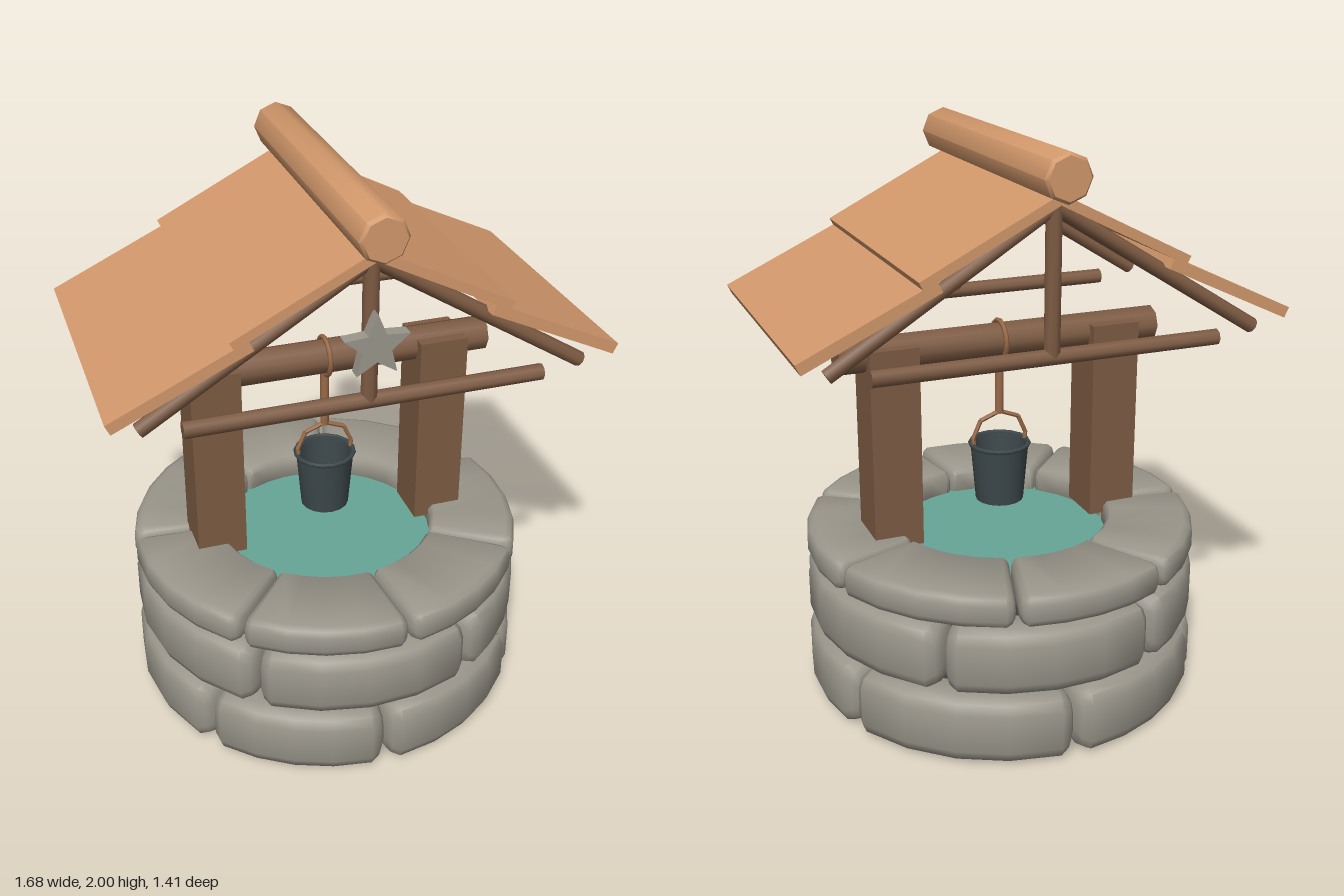
import * as THREE from 'three';
import { toCreasedNormals } from 'three/addons/utils/BufferGeometryUtils.js';

const mat = (name, color, side = THREE.FrontSide) => {
  const m = new THREE.MeshStandardMaterial({ color, side });
  m.name = name;
  return m;
};

// One curved block: a chamfered section swept from angle a0 to a1, shrunk at both ends
function stoneGeometry(a0, a1, ri, ro, y0, y1, b) {
  const section = (s) => {
    const R = ro - s, I = ri + s * 0.4, lo = y0 + s, hi = y1 - s, c = b * 0.5;
    return [[I, lo + c], [I + c, lo], [R - b, lo], [R - b * 0.3, lo + b * 0.3], [R, lo + b],
      [R, hi - b], [R - b * 0.3, hi - b * 0.3], [R - b, hi], [I + c, hi], [I, hi - c]];
  };
  const d = b / ro, steps = 4;
  const stations = [[a0, b * 0.75], [a0 + d * 0.35, b * 0.3]];
  for (let i = 0; i <= steps; i++) stations.push([a0 + d + (a1 - a0 - 2 * d) * i / steps, 0]);
  stations.push([a1 - d * 0.35, b * 0.3], [a1, b * 0.75]);
  const pos = [], idx = [], n = 10;
  stations.forEach(([a, s]) => section(s).forEach(([r, y]) => pos.push(r * Math.sin(a), y, r * Math.cos(a))));
  for (let i = 0; i < stations.length - 1; i++) {
    for (let j = 0; j < n; j++) {
      const p = i * n + j, q = i * n + (j + 1) % n;
      idx.push(p, p + n, q, q, p + n, q + n);
    }
  }
  const e = (stations.length - 1) * n;
  for (let j = 1; j < n - 1; j++) idx.push(0, j, j + 1, e, e + j + 1, e + j);
  const g = new THREE.BufferGeometry();
  g.setAttribute('position', new THREE.Float32BufferAttribute(pos, 3));
  g.setIndex(idx);
  return toCreasedNormals(g, 0.9);
}

export function createModel() {
  const lightWood = mat('light wood', 0xd2986b);
  const darkWood = mat('dark wood', 0x7d5b43);
  const ropeBrown = mat('rope brown', 0x9a6a48);
  const stone = mat('stone', 0x9a968b);
  const slate = mat('dark slate', 0x3d484b, THREE.DoubleSide);
  const water = mat('water', 0x66a596);
  const root = new THREE.Group();
  root.name = 'well';

  const add = (name, geo, material, x = 0, y = 0, z = 0) => {
    const m = new THREE.Mesh(geo, material);
    m.name = name;
    m.position.set(x, y, z);
    root.add(m);
    return m;
  };
  // Round pole between two points
  const pole = (name, from, to, r, material, sides = 8) => {
    const a = new THREE.Vector3(...from), b = new THREE.Vector3(...to);
    const dir = b.clone().sub(a);
    const g = toCreasedNormals(new THREE.CylinderGeometry(r, r, dir.length(), sides), 0.9);
    const m = add(name, g, material);
    m.position.copy(a).add(b).multiplyScalar(0.5);
    m.quaternion.setFromUnitVectors(new THREE.Vector3(0, 1, 0), dir.normalize());
    return m;
  };

  // Stone rings: joint angles in degrees, measured from the front towards +x
  const rings = [
    { name: 'lowerStone', joints: [0, 56, 112, 180, 236, 306], ri: 0.5, ro: 0.705, y0: 0.004, y1: 0.242, b: 0.05, gap: 0.4 },
    { name: 'middleStone', joints: [28, 75, 142, 206, 254, 322], ri: 0.5, ro: 0.7, y0: 0.258, y1: 0.496, b: 0.05, gap: 0.4 },
    { name: 'rimStone', joints: [6.5, 55, 108, 163, 210, 264, 318], ri: 0.39, ro: 0.7, y0: 0.512, y1: 0.626, b: 0.03, gap: 0.6 },
  ];
  const rad = THREE.MathUtils.degToRad;
  for (const { name, joints, ri, ro, y0, y1, b, gap } of rings) {
    joints.forEach((a, i) => {
      const next = i + 1 < joints.length ? joints[i + 1] : joints[0] + 360;
      add(name, stoneGeometry(rad(a + gap), rad(next - gap), ri, ro, y0, y1, b), stone);
    });
  }

  // Dark core behind the stones, with the water on top
  add('core', new THREE.CylinderGeometry(0.57, 0.57, 0.53, 32), slate, 0, 0.265, 0);
  add('water', new THREE.CylinderGeometry(0.5, 0.5, 0.008, 32), water, 0, 0.538, 0);

  // Posts and crossbar
  for (const s of [-1, 1]) add('post', new THREE.BoxGeometry(0.175, 0.72, 0.18), darkWood, s * 0.41, 0.945, 0);
  pole('crossbar', [-0.59, 1.272, 0], [0.59, 1.272, 0], 0.062, darkWood);

  // A truss under each end of the roof
  for (const z of [-0.445, 0.445]) {
    pole('tieBeam', [-0.6, 1.338, z], [0.6, 1.338, z], 0.028, darkWood);
    pole('kingPost', [0, 1.34, z], [0, 1.86, z], 0.028, darkWood);
    for (const s of [-1, 1]) pole('rafter', [0, 1.82, z], [s * 0.735, 1.362, z], 0.026, darkWood);
  }

  // Roof boards, two overlapping rows per side
  const board = (name, s, x0, y0, x1, y1, t) => {
    const m = add(name, new THREE.BoxGeometry(Math.hypot(x1 - x0, y1 - y0), t, 1), lightWood,
      s * (x0 + x1) / 2, (y0 + y1) / 2, 0);
    m.rotation.z = s * Math.atan2(y1 - y0, x1 - x0);
  };
  for (const s of [-1, 1]) {
    board('upperRoofBoard', s, 0, 1.85, 0.45, 1.623, 0.032);
    board('lowerRoofBoard', s, 0.39, 1.618, 0.833, 1.411, 0.038);
  }

  // Ridge log with slightly bevelled ends
  const ridge = [[0, -0.562], [0.07, -0.562], [0.08, -0.55], [0.08, 0.55], [0.07, 0.562], [0, 0.562]]
    .map(([x, y]) => new THREE.Vector2(x, y));
  add('ridgeLog', toCreasedNormals(new THREE.LatheGeometry(ridge, 8), 0.85), lightWood, 0, 1.923, 0).rotation.x = Math.PI / 2;

  // Star on the front king post
  const star = new THREE.Shape();
  for (let i = 0; i < 10; i++) {
    const a = Math.PI / 2 + i * Math.PI / 5, r = i % 2 ? 0.05 : 0.112;
    star[i ? 'lineTo' : 'moveTo'](r * Math.cos(a), r * Math.sin(a));
  }
  add('star', new THREE.ExtrudeGeometry(star, { depth: 0.045, bevelEnabled: false }), stone, 0, 1.555, 0.468);

  // Rope looped round the crossbar
  add('ropeLoop', new THREE.TorusGeometry(0.068, 0.009, 6, 16), ropeBrown, 0, 1.272, 0).rotation.y = Math.PI / 2;
  pole('rope', [0, 1.0, 0], [0, 1.22, 0], 0.016, ropeBrown);

  // Bucket: open shell with a rim and a bent handle
  const bucket = [[0, 0.675], [0.086, 0.675], [0.104, 0.885], [0.095, 0.885], [0.08, 0.69], [0, 0.69]]
    .map(([x, y]) => new THREE.Vector2(x, y));
  add('bucket', toCreasedNormals(new THREE.LatheGeometry(bucket, 16), 0.7), slate);
  add('bucketRim', new THREE.TorusGeometry(0.105, 0.008, 6, 16), slate, 0, 0.887, 0).rotation.x = Math.PI / 2;
  const bail = [[-0.098, 0.89], [-0.1, 0.915], [-0.072, 0.978], [0, 1.006], [0.072, 0.978], [0.1, 0.915], [0.098, 0.89]];
  for (let i = 0; i < bail.length - 1; i++) {
    pole('bucketHandle', [...bail[i], 0], [...bail[i + 1], 0], 0.008, ropeBrown, 6);
  }
  return root;
}
